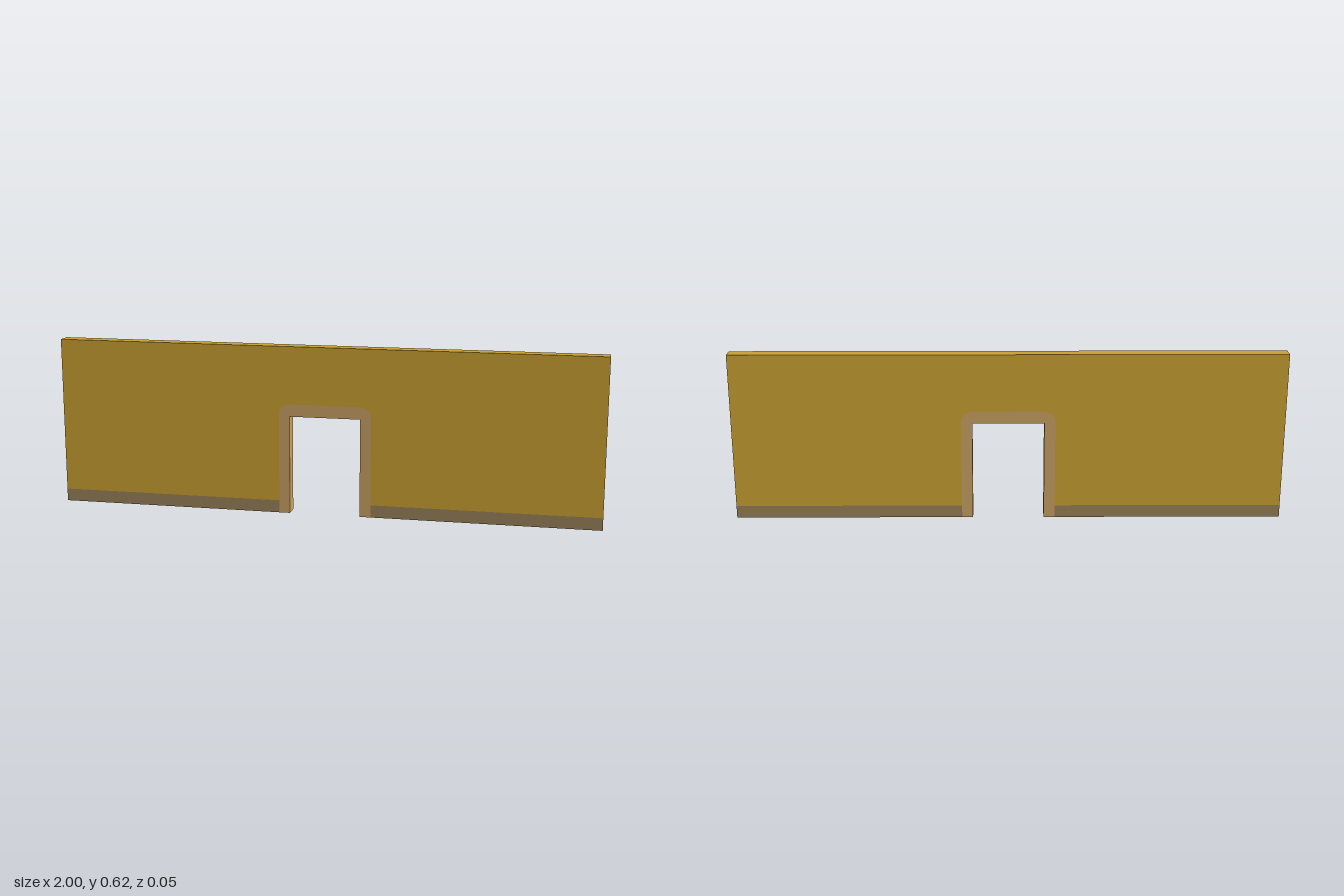
import * as THREE from 'three';

const DEPTH = 0.053, HEIGHT = 0.62, PLINTH = 0.046;
const IN_W = 0.13, IN_H = 0.363; // doorway half width and height
const OUT_W = 0.17, OUT_H = 0.408, R = 0.04; // trim outer half width, height, corner radius

// Arch outline of the trim's outer edge from right foot to left foot
function traceOuter(shape, startY) {
  shape.lineTo(OUT_W, startY);
  shape.lineTo(OUT_W, OUT_H - R);
  shape.absarc(OUT_W - R, OUT_H - R, R, 0, Math.PI / 2, false);
  shape.absarc(-OUT_W + R, OUT_H - R, R, Math.PI / 2, Math.PI, false);
  shape.lineTo(-OUT_W, startY);
}

function slab(name, shape, color) {
  const geometry = new THREE.ExtrudeGeometry(shape, { depth: DEPTH, bevelEnabled: false, curveSegments: 6 });
  geometry.translate(0, 0, -DEPTH / 2);
  const mesh = new THREE.Mesh(geometry, new THREE.MeshStandardMaterial({ color }));
  mesh.name = name;
  return mesh;
}

export function createModel() {
  const group = new THREE.Group();
  group.name = 'wallWithDoorway';

  // Wall panel above the plinth, cut out around the door trim
  const wall = new THREE.Shape();
  wall.moveTo(1, PLINTH);
  wall.lineTo(1, HEIGHT);
  wall.lineTo(-1, HEIGHT);
  wall.lineTo(-1, PLINTH);
  const notch = new THREE.Path();
  notch.moveTo(OUT_W, PLINTH);
  traceOuter(notch, PLINTH);
  notch.getPoints(6).reverse().forEach((p) => wall.lineTo(p.x, p.y));
  group.add(slab('wall', wall, 0xc89f32));

  // Door trim, flush with the wall
  const trim = new THREE.Shape();
  trim.moveTo(IN_W, 0);
  traceOuter(trim, 0);
  trim.lineTo(-IN_W, 0);
  trim.lineTo(-IN_W, IN_H);
  trim.lineTo(IN_W, IN_H);
  group.add(slab('doorTrim', trim, 0xc8a064));

  // Plinth strips on both sides of the doorway
  for (const side of [1, -1]) {
    const mesh = new THREE.Mesh(
      new THREE.BoxGeometry(1 - OUT_W, PLINTH, DEPTH),
      new THREE.MeshStandardMaterial({ color: 0x988058 })
    );
    mesh.position.set(side * (1 + OUT_W) / 2, PLINTH / 2, 0);
    mesh.name = side > 0 ? 'leftPlinth' : 'rightPlinth';
    group.add(mesh);
  }
  return group;
}
